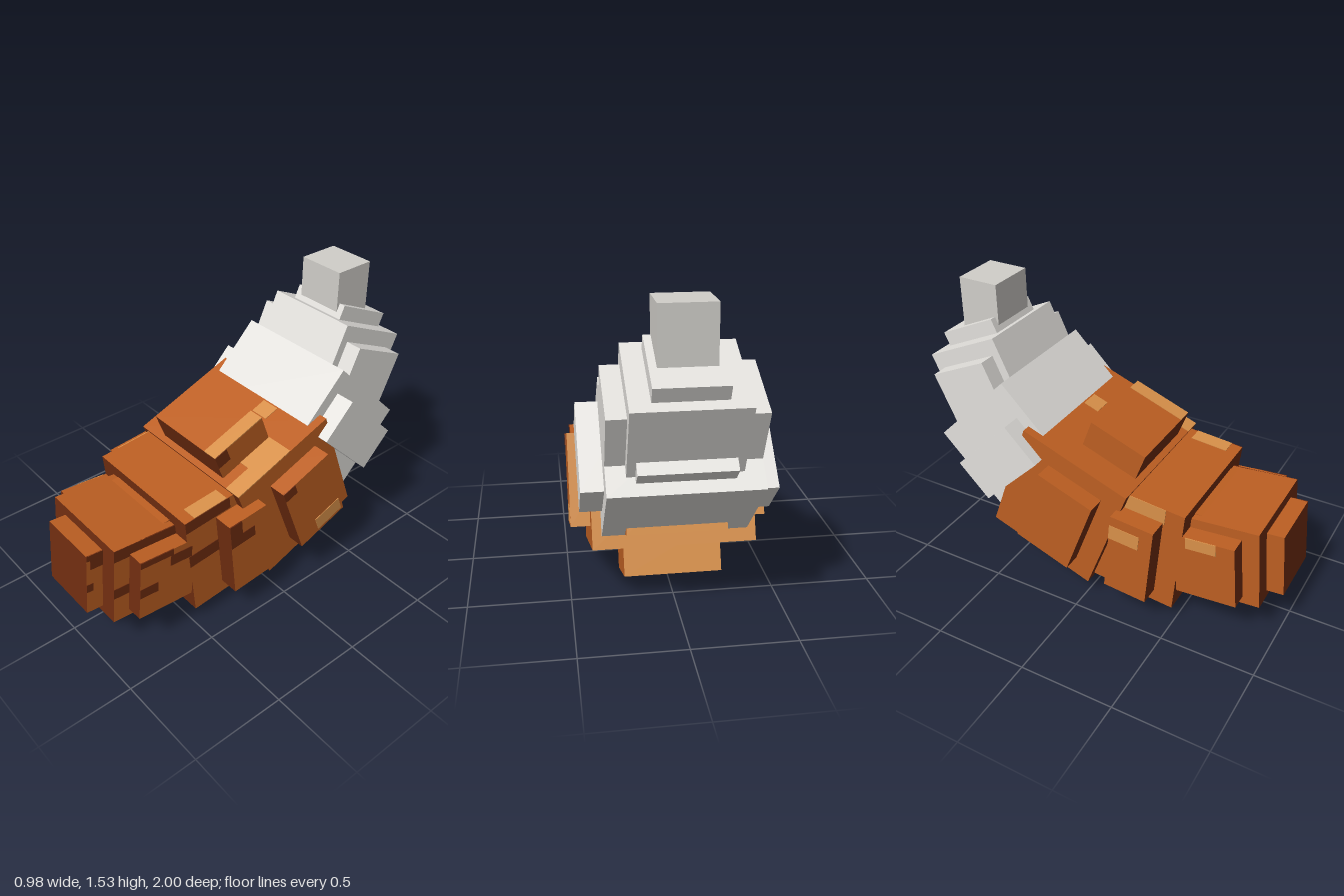
import * as THREE from 'three';

const mat = (name, color) => {
  const m = new THREE.MeshStandardMaterial({ color });
  m.name = name;
  return m;
};

export function createModel() {
  const root = new THREE.Group();
  root.name = 'segmentedTail';

  const orange = mat('orange', 0xbd5f22);
  const dark = mat('darkBrown', 0x702d10);
  const tan = mat('lightOrange', 0xd9914a);
  const white = mat('white', 0xe2e0dc);
  const grey = mat('paleGrey', 0xd0cec9);
  // orange blocks: dark front face, light back face
  const fur = [orange, orange, orange, orange, dark, tan];

  // Block placed by its upper front edge (z, y) and tilted about x
  function block(name, deg, x0, x1, z, y, h, d, material) {
    const a = THREE.MathUtils.degToRad(deg), s = Math.sin(a), c = Math.cos(a);
    const mesh = new THREE.Mesh(new THREE.BoxGeometry(x1 - x0, h, d), material);
    mesh.name = name;
    mesh.position.set((x0 + x1) / 2, y + s * d / 2 - c * h / 2, z - c * d / 2 - s * h / 2);
    mesh.rotation.x = a;
    mesh.userData.size = [x1 - x0, h, d];
    root.add(mesh);
    return mesh;
  }
  const wide = (name, deg, hx, z, y, h, d, m) => block(name, deg, -hx, hx, z, y, h, d, m);

  // Pair of side pads, the -x one shifted by (dz, dy)
  function pads(name, deg, hx, z, y, h, d, dz, dy, m) {
    return [
      block(name + 'Left', deg, 0.2, hx, z, y, h, d, m),
      block(name + 'Right', deg, -hx, -0.2, z + dz, y + dy, h, d, m),
    ];
  }

  // Thin colour patch; u runs front to back, v top to bottom (sides) or -x to +x (top, bottom)
  function patch(mesh, face, u0, u1, v0, v1, material) {
    const [w, h, d] = mesh.userData.size, t = 0.006;
    const z = d / 2 - d * (u0 + u1) / 2, lz = d * (u1 - u0), vm = (v0 + v1) / 2 - 0.5;
    const side = face.endsWith('x'), sign = face[0] === '-' ? -1 : 1;
    const geo = side ? new THREE.BoxGeometry(t, h * (v1 - v0), lz) : new THREE.BoxGeometry(w * (v1 - v0), t, lz);
    const p = new THREE.Mesh(geo, material);
    p.name = 'patch';
    if (side) p.position.set(sign * w / 2, -h * vm, z);
    else p.position.set(w * vm, sign * h / 2, z);
    mesh.add(p);
  }

  // First segment
  const tipPlate = wide('frontPlate', -5, 0.165, 0.972, 0.597, 0.35, 0.2, fur);
  const core1 = wide('firstCore', -5, 0.26, 0.878, 0.64, 0.44, 0.45, fur);
  const side1 = wide('firstSides', -5, 0.35, 0.795, 0.58, 0.345, 0.32, fur);
  patch(tipPlate, '+x', 0, 0.5, 0, 0.09, dark);
  patch(tipPlate, '+x', 0.1, 0.5, 0.07, 0.25, dark);
  patch(tipPlate, '+x', 0, 0.18, 0.5, 0.63, dark);
  patch(core1, '+x', 0, 1, 0, 0.15, dark);
  patch(core1, '+x', 0, 0.25, 0.53, 0.66, dark);
  patch(side1, '+x', 0, 0.6, 0, 0.1, dark);
  patch(side1, '+x', 0.55, 0.95, 0.1, 0.28, dark);
  patch(side1, '+x', 0, 0.33, 0.47, 0.63, dark);
  patch(side1, '-x', 0.3, 0.8, 0, 0.18, tan);
  patch(core1, '-y', 0.35, 0.7, 0.55, 0.7, dark);

  // Second segment
  wide('secondFrontPlate', 5, 0.22, 0.624, 0.608, 0.47, 0.2, fur);
  const core2 = wide('secondCore', 5, 0.35, 0.535, 0.675, 0.6, 0.5, fur);
  const [pad2, pad2r] = pads('secondPad', 5, 0.455, 0.345, 0.615, 0.45, 0.235, 0.075, -0.012, fur);
  patch(core2, '+x', 0, 0.55, 0, 0.11, dark);
  patch(core2, '+x', 0, 0.4, 0.37, 0.49, dark);
  patch(core2, '+y', 0.12, 0.52, 0.88, 1, tan);
  patch(core2, '-x', 0.2, 0.7, 0, 0.15, tan);
  patch(core2, '-y', 0.1, 0.5, 0.3, 0.4, dark);
  patch(pad2, '+x', 0, 0.32, 0, 0.32, dark);
  patch(pad2, '+x', 0.3, 0.65, 0.18, 0.32, dark);
  patch(pad2r, '-x', 0.3, 1, 0.12, 0.3, tan);

  // Third segment
  const core3 = wide('thirdCore', 20, 0.395, 0.24, 0.71, 0.665, 0.617, fur);
  const top3 = wide('topPlate', 20, 0.24, 0.26, 0.865, 0.25, 0.32, fur);
  const low3 = wide('bottomPlate', 20, 0.24, -0.125, 0.24, 0.25, 0.32, fur);
  wide('thirdBackPlate', 20, 0.24, -0.222, 0.798, 0.52, 0.25, fur);
  const [pad3] = pads('thirdPad', 20, 0.49, 0.03, 0.675, 0.455, 0.32, 0.07, -0.025, fur);
  patch(core3, '+y', 0, 0.58, 0.88, 1, tan);
  patch(core3, '+y', 0.25, 0.58, 0.78, 0.88, tan);
  patch(core3, '+y', 0.7, 0.84, 0.54, 0.67, tan);
  patch(top3, '+y', 0, 1, 0.83, 1, tan);
  patch(top3, '+x', 0, 0.24, 0, 0.3, dark);
  patch(pad3, '+x', 0, 0.25, 0, 0.13, dark);
  patch(pad3, '+x', 0.4, 0.95, 0.78, 0.96, tan);
  patch(low3, '-y', 0, 0.4, 0.62, 0.78, dark);

  // Fourth segment, white
  wide('fourthCore', 45, 0.35, -0.143, 0.778, 0.587, 0.49, white);
  wide('fourthBackPlate', 45, 0.22, -0.449, 0.999, 0.467, 0.2, white);
  pads('fourthPad', 45, 0.455, -0.29, 0.83, 0.445, 0.24, 0.05, -0.05, white);

  // Fifth segment and upright end cube
  wide('fifthCore', 65, 0.26, -0.423, 0.943, 0.45, 0.4, white);
  wide('fifthSides', 65, 0.35, -0.473, 0.938, 0.35, 0.3, white);
  wide('fifthEndPlate', 65, 0.165, -0.58, 1.174, 0.35, 0.2, white);
  wide('endCube', 0, 0.13, -0.645, 1.53, 0.27, 0.222, grey);

  return root;
}
